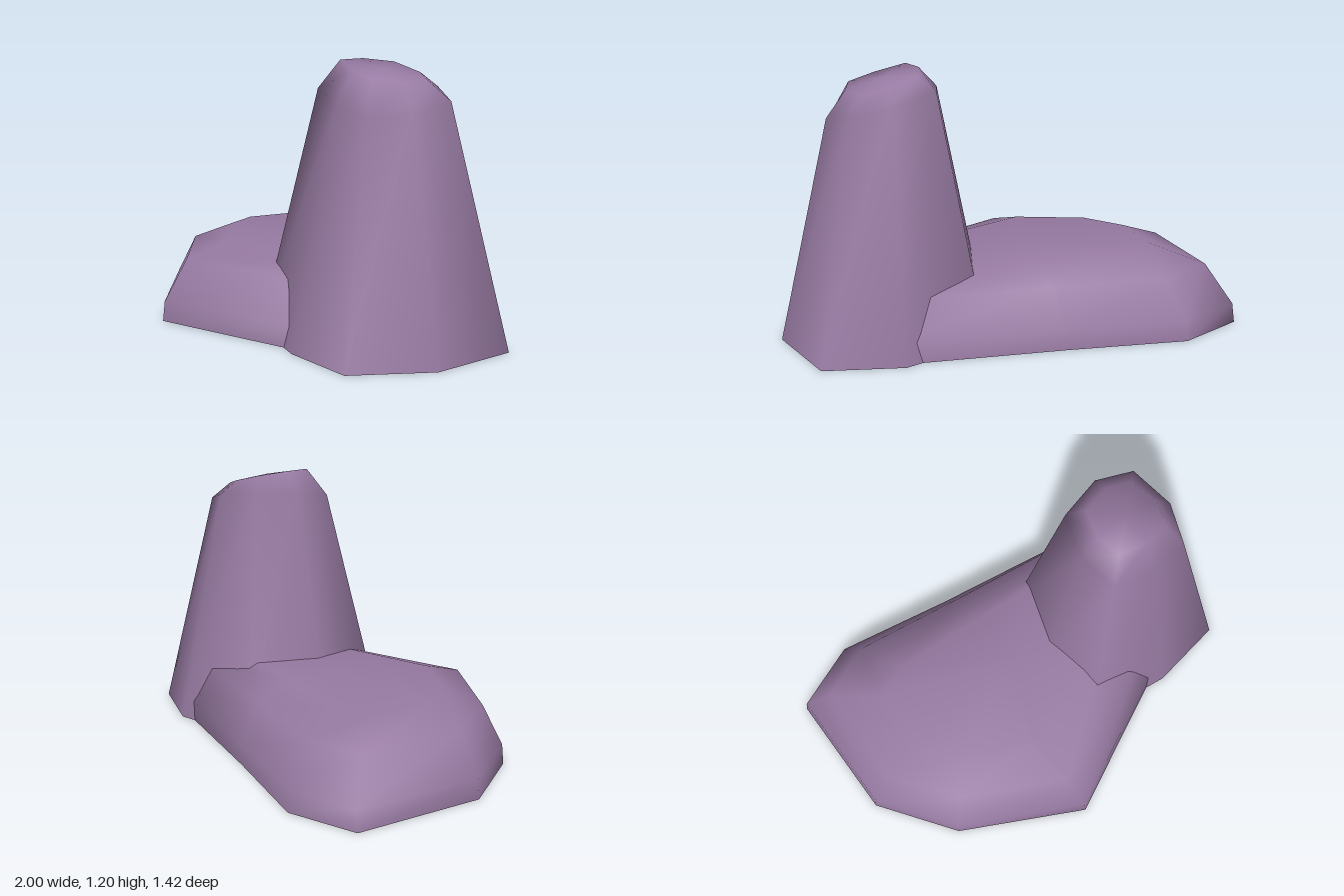
import * as THREE from 'three';

const stone = new THREE.MeshStandardMaterial({ color: 0x987ba3, side: THREE.DoubleSide });
stone.name = 'mauve stone';

// Smooth shell from stacked rings of [x, y, z] points, open below and closed by a fan on top.
function shell(name, rings, apex) {
  const n = rings[0].length, index = [];
  for (let r = 0; r < rings.length; r++) {
    for (let i = 0; i < n; i++) {
      const a = r * n + i, b = r * n + (i + 1) % n;
      if (r < rings.length - 1) index.push(a, b, b + n, a, b + n, a + n);
      else index.push(a, b, rings.length * n);
    }
  }
  const geometry = new THREE.BufferGeometry();
  geometry.setAttribute('position', new THREE.Float32BufferAttribute([...rings.flat(2), ...apex], 3));
  geometry.setIndex(index);
  geometry.computeVertexNormals();
  const mesh = new THREE.Mesh(geometry, stone);
  mesh.name = name;
  return mesh;
}

export function createModel() {
  const group = new THREE.Group();
  group.name = 'rocks';

  // Low flat rock: outline drawn in towards a short spine as it rises
  const lowOutline = [[-1, -0.04], [-0.81, 0.34], [-0.31, 0.71], [0.5, 0.465],
    [0.72, -0.29], [-0.04, -0.53], [-0.57, -0.715], [-0.9, -0.64]];
  const lowRings = [[0, 1], [0.09, 0.985], [0.268, 0.82], [0.337, 0.5]].map(([y, s]) =>
    lowOutline.map(([x, z]) => {
      const spine = THREE.MathUtils.clamp(x, -0.38, 0.25);
      return [spine + (x - spine) * s, y, z * s];
    }));
  group.add(shell('lowRock', lowRings, [-0.1, 0.337, 0]));

  // Tall rock: tapering column with a tilted shoulder and cap
  const tallOutline = [[0.04, 0.06], [0.05, 0.42], [0.45, 0.535], [0.81, 0.535],
    [1, 0.21], [0.98, -0.2], [0.65, -0.35], [0.22, -0.29]];
  const cx = 0.52, cz = 0.1;
  const tallRings = [[0, 1, 0, 0], [1.06, 0.52, -0.19, -0.17], [1.16, 0.345, -0.25, 0]].map(
    ([y, s, tiltX, tiltZ]) => tallOutline.map(([x, z]) => {
      const dx = (x - cx) * s, dz = (z - cz) * s;
      return [cx + dx, y + tiltX * dx + tiltZ * dz, cz + dz];
    }));
  group.add(shell('tallRock', tallRings, [cx, 1.17, cz]));

  return group;
}
